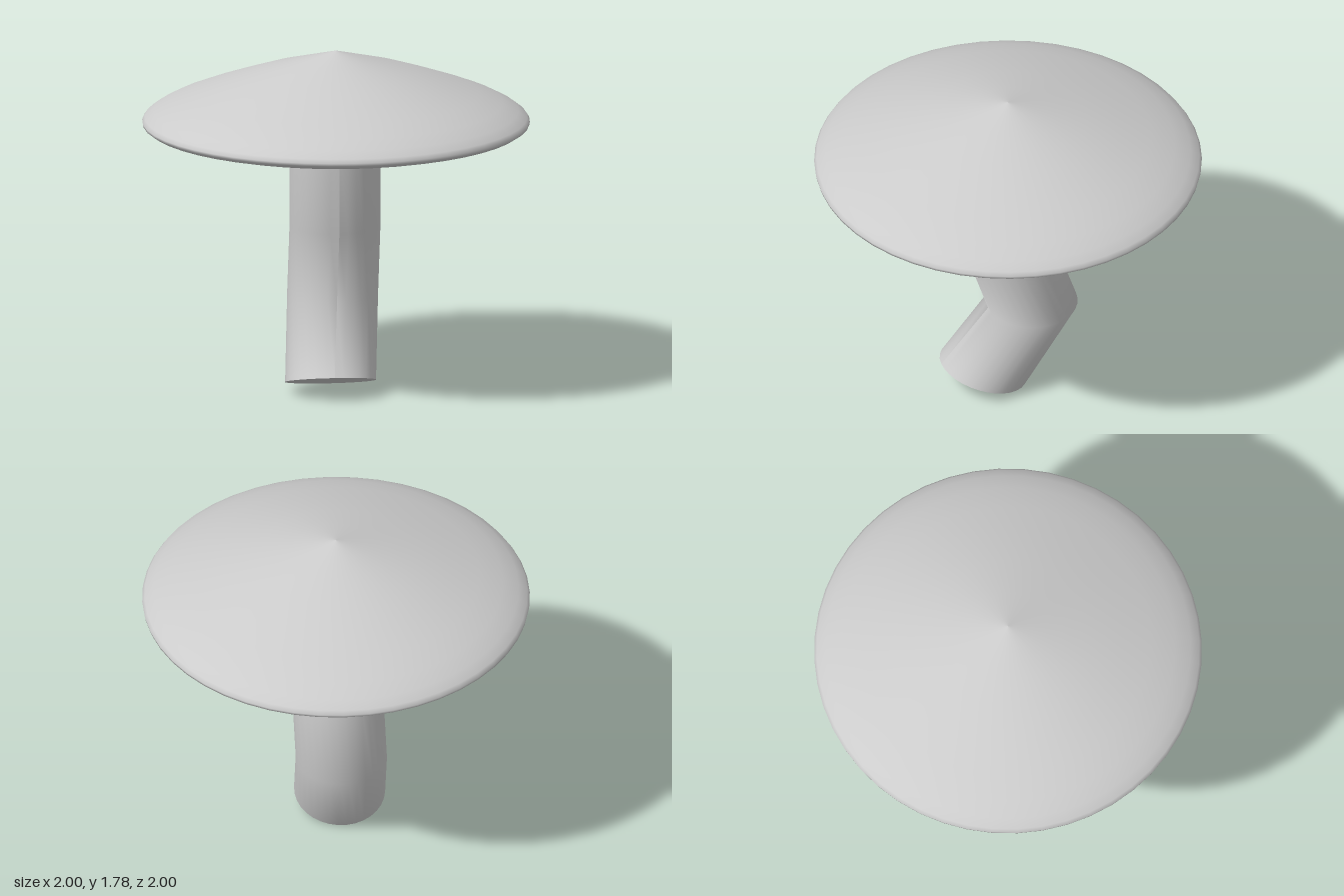
import * as THREE from 'three';

const material = new THREE.MeshStandardMaterial({ color: 0xcccccc, side: THREE.DoubleSide });

// Closed tube through tilted rings; each ring: centre x, y, z and the rise of its front edge.
function bentStem(rings, radius, sides) {
  const pos = [], index = [];
  for (const [x, y, z, rise, depth] of rings) {
    for (let i = 0; i <= sides; i++) {
      const a = (i / sides) * Math.PI * 2;
      pos.push(x + radius * Math.sin(a), y + rise * Math.cos(a), z + depth * Math.cos(a));
    }
  }
  const row = sides + 1;
  for (let r = 0; r < rings.length - 1; r++) {
    for (let i = 0; i < sides; i++) {
      const a = r * row + i, b = a + row;
      index.push(a, a + 1, b, a + 1, b + 1, b);
    }
  }
  // end cap with its own vertices, so its edge stays sharp
  const [cx, cy, cz] = rings[0];
  const centre = pos.length / 3;
  pos.push(cx, cy, cz, ...pos.slice(0, row * 3));
  for (let i = 1; i <= sides; i++) index.push(centre, centre + i + 1, centre + i);
  const geo = new THREE.BufferGeometry();
  geo.setAttribute('position', new THREE.Float32BufferAttribute(pos, 3));
  geo.setIndex(index);
  geo.computeVertexNormals();
  return geo;
}

export function createModel() {
  const group = new THREE.Group();

  // wide pointed cap with a thin rounded rim and shallow underside
  const profile = [
    [0, 1.29], [0.25, 1.293], [0.47, 1.305], [0.74, 1.333], [0.9, 1.36], [0.97, 1.378],
    [0.995, 1.395], [0.998, 1.41], [0.985, 1.43], [0.94, 1.463], [0.86, 1.505],
    [0.74, 1.553], [0.58, 1.61], [0.4, 1.67], [0.2, 1.725], [0, 1.78],
  ].map(([r, y]) => new THREE.Vector2(r, y));
  const cap = new THREE.Mesh(new THREE.LatheGeometry(profile, 48), material);
  cap.name = 'cap';
  group.add(cap);

  // crooked stem with a slanted foot
  const stem = new THREE.Mesh(bentStem([
    [-0.04, 0.065, 0.122, 0.065, 0.223],
    [-0.005, 0.47, -0.13, 0, 0.235],
    [-0.005, 0.86, -0.003, 0, 0.233],
    [-0.005, 1.33, -0.003, 0, 0.233],
  ], 0.235, 32), material);
  stem.name = 'stem';
  group.add(stem);

  return group;
}
